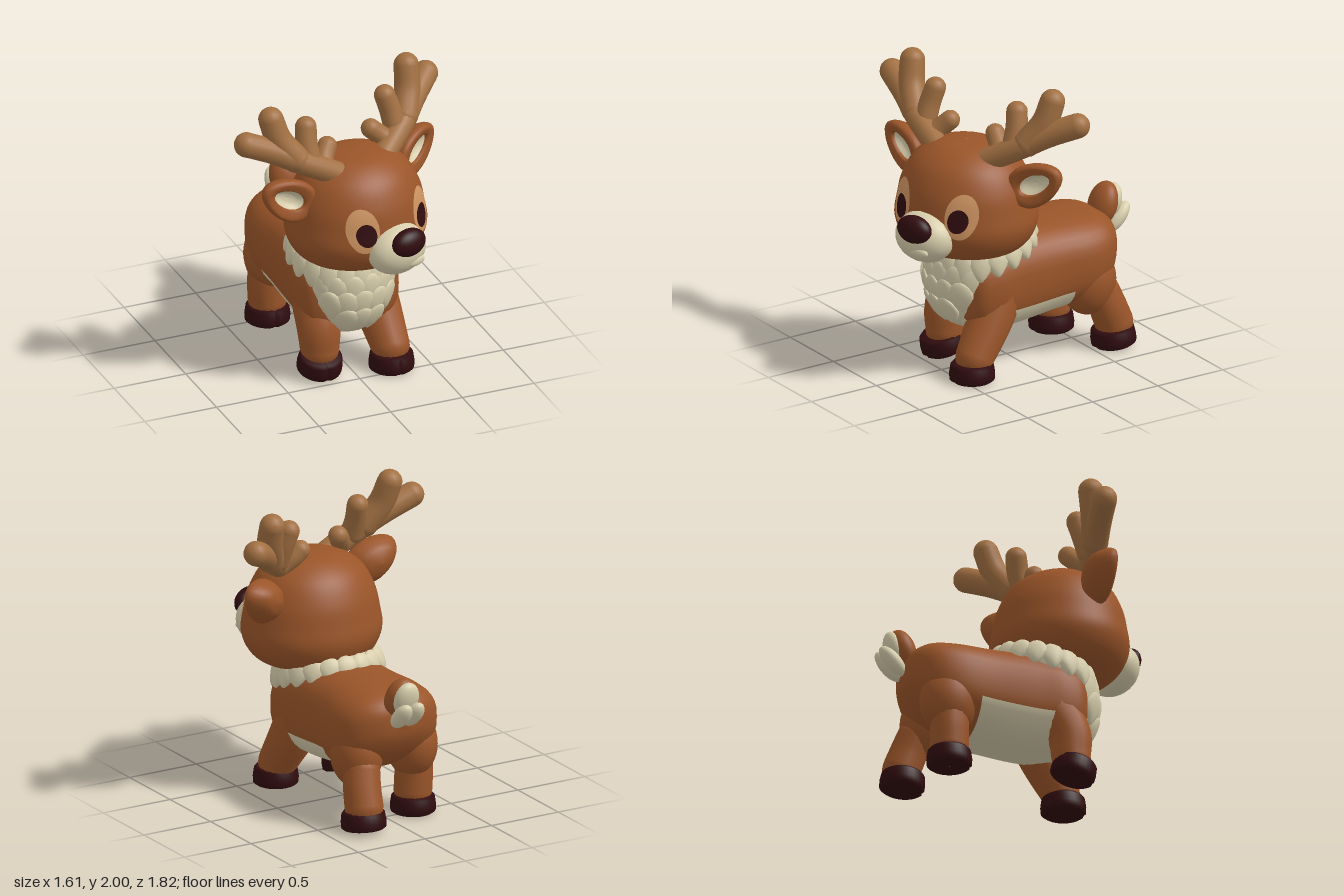
import * as THREE from 'three';
import { mergeGeometries } from 'three/addons/utils/BufferGeometryUtils.js';

const mat = (name, color) => {
  const m = new THREE.MeshStandardMaterial({ color });
  m.name = name;
  return m;
};
const fur = mat('brown fur', 0x9a5529);
const cream = mat('cream fur', 0xd8ceac);
const dark = mat('dark hoof', 0x300c0f);
const antlerMat = mat('antler', 0xa27042);
const tan = mat('tan patch', 0xce9461);

const V = (p) => new THREE.Vector3(...p);
function add(parent, name, geometry, material, pos = [0, 0, 0], rot = [0, 0, 0]) {
  const m = new THREE.Mesh(geometry, material);
  m.name = name;
  m.position.set(...pos);
  m.rotation.set(rot[0], rot[1], rot[2], 'YXZ');
  parent.add(m);
  return m;
}
const ball = (rx, ry, rz) => new THREE.SphereGeometry(1, 28, 20).scale(rx, ry, rz);

// Tapered round-ended tube through points
function limb(points, r0, r1) {
  const curve = new THREE.CatmullRomCurve3(points.map(V));
  const n = 14, k = 16;
  const tube = new THREE.TubeGeometry(curve, n, 1, k);
  const p = tube.attributes.position, v = new THREE.Vector3();
  for (let i = 0; i <= n; i++) {
    const c = curve.getPointAt(i / n), r = r0 + (r1 - r0) * i / n;
    for (let j = 0; j <= k; j++) {
      const id = i * (k + 1) + j;
      v.fromBufferAttribute(p, id).sub(c).multiplyScalar(r).add(c);
      p.setXYZ(id, v.x, v.y, v.z);
    }
  }
  const cap = (q, r) => new THREE.SphereGeometry(r, 16, 12).translate(...q);
  return mergeGeometries([tube, cap(points[0], r0), cap(points[points.length - 1], r1)]);
}

// Torso lofted along z from rounded sections: [z, centre y, half height, half width]
function torso() {
  const S = [[-0.745, 0.7, 0.004, 0.004], [-0.72, 0.7, 0.12, 0.18], [-0.62, 0.66, 0.23, 0.32],
    [-0.45, 0.62, 0.29, 0.37], [-0.2, 0.6, 0.31, 0.352], [0.08, 0.585, 0.325, 0.35],
    [0.28, 0.575, 0.3, 0.35], [0.42, 0.56, 0.23, 0.28], [0.48, 0.55, 0.004, 0.004]];
  const a = new THREE.CatmullRomCurve3(S.map((s) => V([s[0], s[1], 0])), false, 'catmullrom');
  const b = new THREE.CatmullRomCurve3(S.map((s) => V([s[2], s[3], 0])), false, 'catmullrom');
  const n = 40, k = 36, pos = [], brownIdx = [], creamIdx = [];
  const pw = (t) => Math.sign(t) * Math.abs(t) ** 0.78;
  for (let i = 0; i <= n; i++) {
    const c = a.getPoint(i / n), r = b.getPoint(i / n);
    for (let j = 0; j < k; j++) {
      const t = j / k * Math.PI * 2;
      pos.push(r.y * pw(Math.cos(t)), c.y + r.x * pw(Math.sin(t)), c.x);
    }
    if (i === n) break;
    for (let j = 0; j < k; j++) {
      const A = i * k + j, B = i * k + (j + 1) % k;
      const limit = c.x > 0.2 ? -0.75 : -0.4;
      const belly = Math.sin((j + 0.5) / k * Math.PI * 2) < limit && c.x > -0.33;
      (belly ? creamIdx : brownIdx).push(A, B, B + k, A, B + k, A + k);
    }
  }
  const g = new THREE.BufferGeometry();
  g.setAttribute('position', new THREE.Float32BufferAttribute(pos, 3));
  g.setIndex([...brownIdx, ...creamIdx]);
  g.addGroup(0, brownIdx.length, 0);
  g.addGroup(brownIdx.length, creamIdx.length, 1);
  g.computeVertexNormals();
  return g;
}

// Head profile: radius against height
const profile = new THREE.SplineCurve([[0.001, 0.83], [0.28, 0.845], [0.41, 0.91], [0.475, 1.04], [0.46, 1.18],
  [0.425, 1.32], [0.34, 1.46], [0.19, 1.55], [0.001, 1.57]].map((p) => new THREE.Vector2(...p))).getPoints(40);
const DEPTH = 0.92;
function headZ(x, y) {
  const i = profile.findIndex((p) => p.y > y), p = profile[i - 1], q = profile[i];
  const r = p.x + (q.x - p.x) * (y - p.y) / (q.y - p.y);
  return DEPTH * Math.sqrt(Math.max(0, r * r - x * x));
}
// Oval face marking that follows the head surface
function facePatch(cx, cy, rx, ry, lift) {
  const g = new THREE.RingGeometry(0.001, 1, 28, 5), p = g.attributes.position;
  for (let i = 0; i < p.count; i++) {
    const x = cx + p.getX(i) * rx, y = cy + p.getY(i) * ry;
    p.setXYZ(i, x * (1 + lift), y, headZ(x, y) * (1 + lift));
  }
  g.computeVertexNormals();
  return g;
}

// Cupped ear part, narrowing towards the outer tip, with a slimmer opening
function earShell(points, s) {
  const curve = new THREE.SplineCurve(points.map((p) => new THREE.Vector2(...p)));
  const g = new THREE.LatheGeometry(curve.getPoints(16), 28).rotateX(Math.PI / 2);
  const p = g.attributes.position;
  for (let i = 0; i < p.count; i++) {
    const x = p.getX(i), y = p.getY(i), z = p.getZ(i);
    const opening = z > -0.3 && Math.hypot(x, y) < 0.7 ? 0.78 : 1;
    p.setXYZ(i, x * 0.2, y * (1 - 0.2 * s * x) * opening * 0.14, z * 0.15);
  }
  g.computeVertexNormals();
  return g;
}

// Pointed lock of fur, hanging down
function tuft(w, h, d) {
  const g = new THREE.SphereGeometry(1, 10, 8), p = g.attributes.position;
  for (let i = 0; i < p.count; i++) {
    const y = p.getY(i), t = y < 0 ? 1 + 0.5 * y : 1;
    p.setXYZ(i, p.getX(i) * t * w, y * h, p.getZ(i) * d);
  }
  g.computeVertexNormals();
  return g;
}

// Hoof with a small cleft at the front
function hoofShape() {
  const pts = [[0.001, 0], [0.13, 0], [0.146, 0.012], [0.148, 0.05], [0.14, 0.105], [0.125, 0.122], [0.001, 0.125]];
  const g = new THREE.LatheGeometry(pts.map((p) => new THREE.Vector2(...p)), 32);
  const p = g.attributes.position;
  for (let i = 0; i < p.count; i++) {
    const x = p.getX(i), z = p.getZ(i);
    if (z > 0.1 && Math.abs(x) < 0.01) p.setZ(i, z * 0.93);
  }
  g.computeVertexNormals();
  return g;
}

export function createModel() {
  const model = new THREE.Group();
  model.name = 'reindeer';
  add(model, 'body', torso(), [fur, cream]);

  // Legs and hooves: path, top radius, hoof position, hoof pitch
  const legs = [
    ['frontLeft', [[0.18, 0.56, 0.18], [0.22, 0.36, 0.28], [0.25, 0.15, 0.41]], 0.172, [0.25, 0, 0.43], 0],
    ['frontRight', [[-0.18, 0.56, 0.19], [-0.21, 0.34, 0.32], [-0.21, 0.18, 0.335]], 0.172, [-0.215, 0.042, 0.335], 0.28],
    ['backLeft', [[0.22, 0.38, -0.58], [0.24, 0.27, -0.62], [0.25, 0.16, -0.66]], 0.12, [0.25, 0.016, -0.66], 0.11],
    ['backRight', [[-0.22, 0.38, -0.49], [-0.225, 0.27, -0.49], [-0.22, 0.15, -0.49]], 0.125, [-0.22, 0, -0.49], 0],
  ];
  for (const [name, path, r, foot, pitch] of legs) {
    add(model, name + 'Leg', limb(path, r, 0.126), fur);
    add(model, name + 'Hoof', hoofShape(), dark, foot, [pitch, 0, 0]);
  }
  for (const s of [-1, 1]) {
    add(model, 'haunch', ball(0.165, 0.23, 0.19), fur, [s * 0.205, 0.47, -0.49]);
  }

  // Chest bib, neck and layered ruff
  add(model, 'chestBib', ball(0.29, 0.33, 0.25), cream, [0, 0.6, 0.3]);
  add(model, 'neck', ball(0.33, 0.17, 0.35), cream, [0, 0.8, 0.2], [0.3, 0, 0]);
  for (let i = 0; i < 19; i++) {
    const a = i / 19 * Math.PI * 2, c = Math.cos(a);
    add(model, 'collarTuft', tuft(0.08, 0.1 + 0.02 * c, 0.038), cream,
      [0.33 * Math.sin(a), 0.825 - 0.085 * c, 0.2 + 0.33 * c], [-0.25 + 0.15 * c, a, 0]);
  }
  const rows = [[0.66, 1.05, 6, 0.1], [0.56, 0.75, 5, 0.25], [0.44, 0.35, 3, 0.5]];
  for (const [y, spread, count, tilt] of rows) {
    const k = Math.sqrt(1 - ((y - 0.6) / 0.33) ** 2);
    for (let i = 0; i < count; i++) {
      const a = spread * (2 * i / (count - 1) - 1);
      add(model, 'chestTuft', tuft(0.088, 0.115, 0.03), cream,
        [0.29 * k * Math.sin(a), y, 0.3 + 0.25 * k * Math.cos(a)], [tilt, a, 0]);
    }
  }

  // Tail: brown above, cream tufts behind
  add(model, 'tail', ball(0.115, 0.15, 0.085), fur, [0.015, 0.88, -0.73], [-0.35, 0, 0]);
  add(model, 'tailUnderside', ball(0.09, 0.12, 0.06), cream, [0.015, 0.89, -0.79], [-0.3, 0, 0]);
  for (const s of [-1, 1]) {
    add(model, 'tailTuft', ball(0.062, 0.12, 0.052), cream, [0.015 + s * 0.045, 0.785, -0.81], [-0.75, 0, 0]);
  }

  // Head, turned a little to its left
  const head = new THREE.Group();
  head.name = 'head';
  head.position.set(0.04, 0, 0.335);
  head.rotation.y = 0.31;
  model.add(head);
  add(head, 'skull', new THREE.LatheGeometry(profile, 48).scale(1, 1, DEPTH), fur);
  add(head, 'muzzle', ball(0.21, 0.168, 0.16), cream, [-0.01, 1.025, 0.41]);
  add(head, 'lowerLip', ball(0.075, 0.035, 0.025), cream, [0.04, 0.965, 0.54]);
  add(head, 'nose', ball(0.13, 0.095, 0.075), dark, [-0.005, 1.105, 0.525]);

  const outer = [[0.001, -1], [0.6, -0.82], [0.95, -0.3], [1, 0.05], [0.84, 0.2], [0.62, 0.12], [0.56, -0.02]];
  const inner = [[0.56, -0.02], [0.3, -0.18], [0.001, -0.24]];
  for (const s of [-1, 1]) {
    add(head, 'eyePatch', facePatch(s * 0.238, 1.195, 0.095, 0.148, 0.012), tan);
    add(head, 'eye', facePatch(s * 0.225, 1.17, 0.06, 0.077, 0.026), dark);

    // Ears
    const ear = new THREE.Group();
    ear.name = s > 0 ? 'leftEar' : 'rightEar';
    ear.position.set(s * 0.54, 1.38, -0.025);
    ear.rotation.set(0, s * 0.28, s * 0.5, 'YXZ');
    head.add(ear);
    add(ear, 'earShell', earShell(outer, s), fur);
    add(ear, 'innerEar', earShell(inner, s), cream);

    // Antlers: main beam and three tines
    const antler = new THREE.Group();
    antler.name = s > 0 ? 'leftAntler' : 'rightAntler';
    head.add(antler);
    const branch = (name, pts, r0, r1) =>
      add(antler, name, limb(pts.map(([x, y, z]) => [s * x, y, z]), r0, r1), antlerMat);
    branch('beam', [[0.17, 1.47, 0.06], [0.43, 1.615, -0.03], [0.59, 1.71, -0.11], [0.76, 1.79, -0.19]], 0.078, 0.082);
    branch('upperTine', [[0.46, 1.64, -0.05], [0.545, 1.78, -0.12], [0.575, 1.92, -0.165]], 0.09, 0.082);
    branch('middleTine', [[0.36, 1.6, -0.03], [0.355, 1.71, -0.07], [0.335, 1.81, -0.1]], 0.074, 0.07);
    branch('innerTine', [[0.28, 1.54, 0.0], [0.23, 1.59, -0.04], [0.185, 1.635, -0.065]], 0.066, 0.064);
  }
  return model;
}
